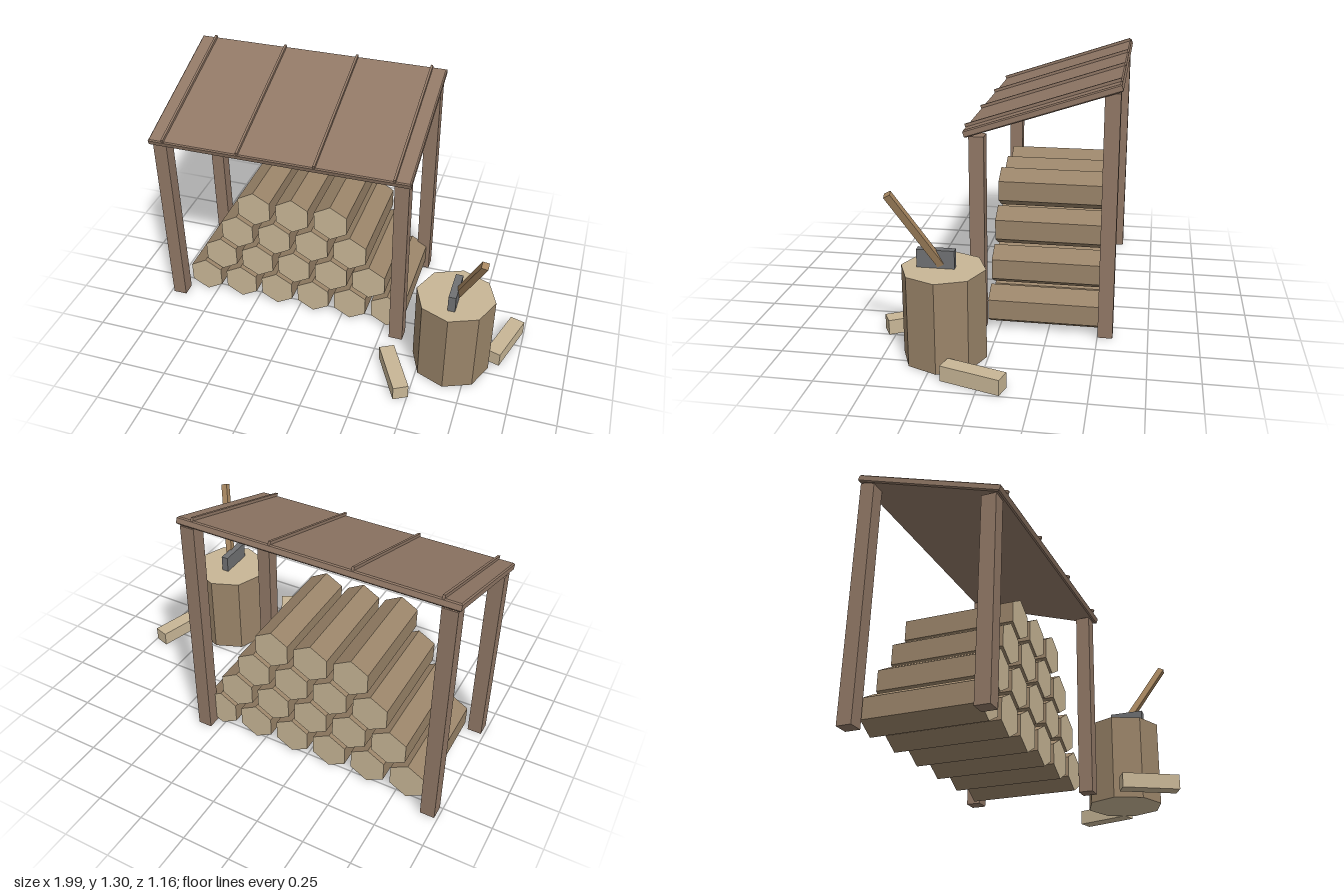
import * as THREE from 'three';

const mat = (color) => new THREE.MeshStandardMaterial({ color, flatShading: true });

export function createModel() {
  const model = new THREE.Group();
  model.name = 'woodShed';
  const timber = mat(0x917866), bark = mat(0x9a8469), cutWood = mat(0xc8b696);
  const steel = mat(0x707173), handleWood = mat(0xa5855f);

  const add = (parent, name, geometry, material, x, y, z) => {
    const mesh = new THREE.Mesh(geometry, material);
    mesh.name = name;
    mesh.position.set(x, y, z);
    parent.add(mesh);
    return mesh;
  };
  const box = (parent, name, w, h, d, material, x, y, z) =>
    add(parent, name, new THREE.BoxGeometry(w, h, d), material, x, y, z);

  // Four posts, the rear pair taller
  const midX = -0.305;
  for (const side of [-1, 1]) {
    const x = midX + side * 0.642;
    box(model, 'frontPost', 0.074, 1.01, 0.074, timber, x, 0.505, 0.104);
    box(model, 'backPost', 0.074, 1.24, 0.074, timber, x, 0.62, -0.538);
  }

  // Sloping roof: slab with chamfered edges and four battens
  const roof = new THREE.Group();
  roof.name = 'roof';
  roof.position.set(midX, 1.1457, -0.2086);
  roof.rotation.x = 0.322;
  model.add(roof);
  const width = 1.383, length = 0.785, thick = 0.037, bevel = 0.006;
  const w = width / 2 - bevel, l = length / 2 - bevel;
  const outline = new THREE.Shape([[-w, -l], [w, -l], [w, l], [-w, l]].map(([x, y]) => new THREE.Vector2(x, y)));
  const slab = new THREE.ExtrudeGeometry(outline, {
    depth: thick - 2 * bevel, bevelEnabled: true, bevelSegments: 1, bevelSize: bevel, bevelThickness: bevel,
  });
  slab.translate(0, 0, bevel - thick / 2);
  slab.rotateX(-Math.PI / 2);
  add(roof, 'roofSlab', slab, timber, 0, 0, 0);
  for (let i = 0; i < 4; i++) {
    box(roof, 'roofBatten', 0.012, 0.02, length - 0.004, timber, -0.609 + i * 0.4065, thick / 2 + 0.005, 0);
  }

  // Stack of hexagonal logs, each row one shorter than the row below
  const logs = new THREE.Group();
  logs.name = 'logPile';
  model.add(logs);
  const logFront = 0.055, logBack = -0.515;
  const logGeometry = new THREE.CylinderGeometry(0.103, 0.103, logFront - logBack, 6);
  logGeometry.rotateX(Math.PI / 2);
  for (let row = 0; row < 4; row++) {
    for (let i = 0; i < 6 - row; i++) {
      add(logs, 'log', logGeometry, [bark, cutWood, cutWood],
        -0.807 + row * 0.107 + i * 0.214, 0.103 + row * 0.176, (logFront + logBack) / 2);
    }
  }

  // Chopping block
  add(model, 'choppingBlock', new THREE.CylinderGeometry(0.203, 0.203, 0.452, 8),
    [bark, cutWood, cutWood], 0.655, 0.226, 0.21);

  // Axe standing in the block
  const axe = new THREE.Group();
  axe.name = 'axe';
  model.add(axe);
  box(axe, 'axeHead', 0.038, 0.1, 0.181, steel, 0.655, 0.491, 0.243);
  const handle = box(axe, 'axeHandle', 0.034, 0.46, 0.034, handleWood, 0.73, 0.655, 0.319);
  handle.rotation.set(0.49, 0, -0.33);

  // Split pieces lying beside the block
  for (const [x, z, turn] of [[0.914, 0.024, -0.29], [0.398, 0.42, 0.5]]) {
    box(model, 'splitWood', 0.08, 0.077, 0.3, cutWood, x, 0.0385, z).rotation.y = turn;
  }
  return model;
}
